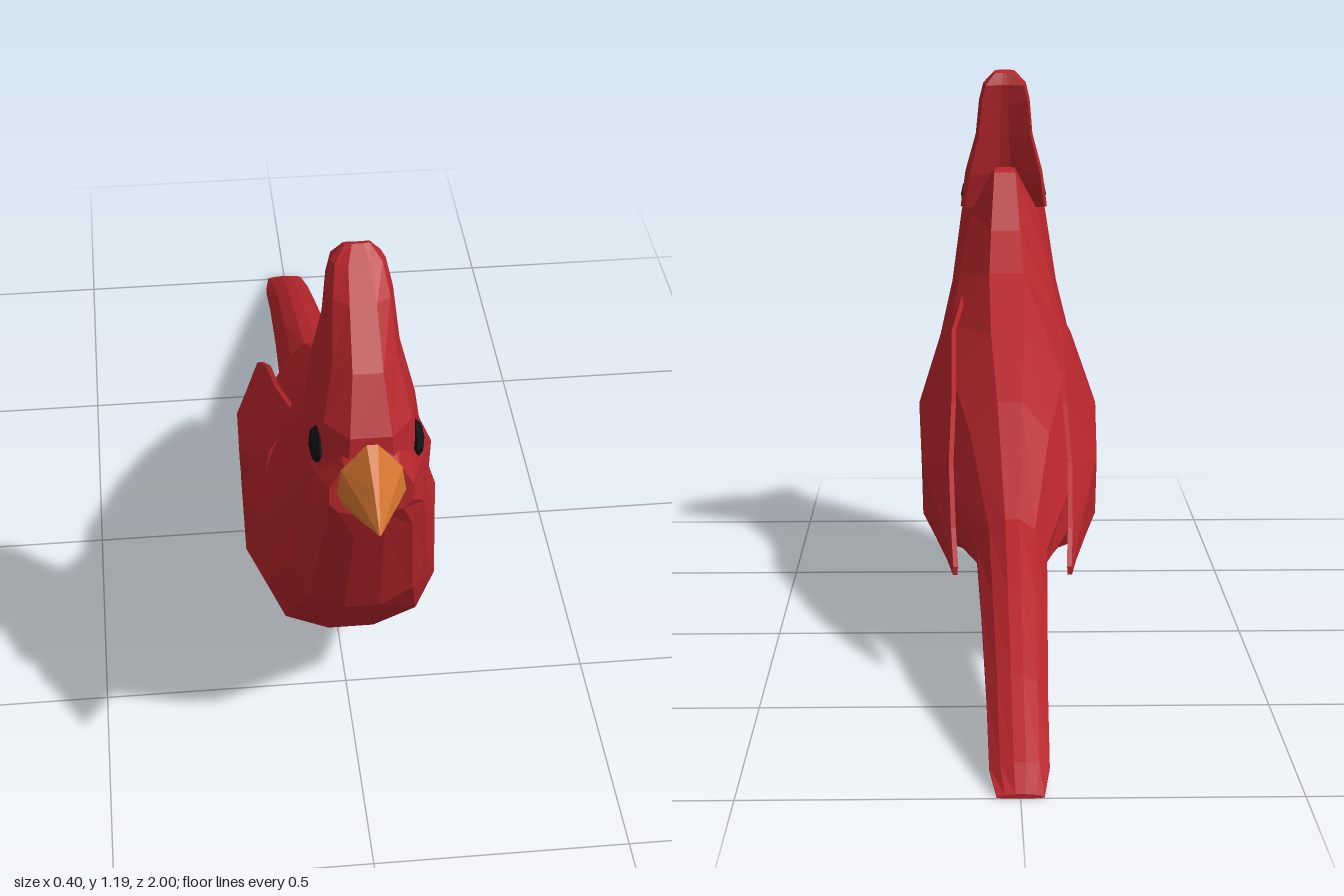
import * as THREE from 'three';

const paint = (color) => new THREE.MeshStandardMaterial({ color, flatShading: true });

// Closed solid through rings of [x, y, z] points, always wound outwards.
function loft(rings) {
  const n = rings[0].length;
  const pts = rings.flat();
  const tris = [];
  for (let r = 0; r < rings.length - 1; r++) {
    for (let i = 0; i < n; i++) {
      const j = (i + 1) % n;
      const a = r * n + i, b = r * n + j, c = a + n, d = b + n;
      tris.push([a, b, d], [a, d, c]);
    }
  }
  const last = (rings.length - 1) * n;
  for (let i = 1; i < n - 1; i++) {
    tris.push([0, i + 1, i], [last, last + i, last + i + 1]);
  }
  const v = pts.map((p) => new THREE.Vector3(...p));
  let volume = 0;
  for (const [a, b, c] of tris) volume += v[a].dot(v[b].clone().cross(v[c]));
  if (volume < 0) tris.forEach((t) => t.reverse());
  const geometry = new THREE.BufferGeometry();
  geometry.setAttribute('position', new THREE.Float32BufferAttribute(pts.flat(), 3));
  geometry.setIndex(tris.flat());
  geometry.computeVertexNormals();
  return geometry;
}

// Mirrored ring between point p [z, y] and point q [z, y]; half is [x share, position p to q].
function ring([pz, py, qz, qy, w], half) {
  const side = half.map(([x, t]) => [x * w, py + (qy - py) * t, pz + (qz - pz) * t]);
  return [...side, ...side.slice().reverse().map(([x, y, z]) => [-x, y, z])];
}

export function createModel() {
  const bird = new THREE.Group();
  bird.name = 'bird';
  const red = paint(0xb5252b);
  const orange = paint(0xd4742f);
  const black = paint(0x101010);
  const add = (name, geometry, material) => {
    const mesh = new THREE.Mesh(geometry, material);
    mesh.name = name;
    bird.add(mesh);
    return mesh;
  };

  // Body from face to tail tip: bottom z, y, top z, y, half width
  const bodySection = [[0.27, 0], [0.78, 0.06], [1, 0.2], [1, 0.46], [0.65, 0.8], [0.2, 1]];
  const bodyRings = [
    [0.875, 0.775, 0.87, 0.91, 0.075],
    [0.85, 0.7, 0.74, 1.0, 0.102],
    [0.76, 0.45, 0.6, 0.945, 0.125],
    [0.58, 0.23, 0.5, 0.82, 0.168],
    [0.36, 0.15, 0.39, 0.735, 0.195],
    [0.09, 0.15, 0.2, 0.625, 0.188],
    [-0.08, 0.19, 0.0, 0.51, 0.13],
    [-0.23, 0.195, -0.27, 0.32, 0.072],
    [-0.46, 0.16, -0.5, 0.235, 0.065],
    [-0.74, 0.07, -0.74, 0.14, 0.057],
    [-0.9, 0.012, -0.94, 0.045, 0.054],
    [-1, 0, -1, 0.008, 0.042],
  ];
  add('body', loft(bodyRings.map((r) => ring(r, bodySection))), red);

  // Crest rising from the head: front z, y, back z, y, half width
  const crestSection = [[0.4, 0], [0.85, 0.2], [1, 0.5], [0.9, 1], [0.15, 0.92]];
  const crestRings = [
    [0.87, 0.84, 0.63, 0.86, 0.105],
    [0.86, 0.935, 0.61, 0.94, 0.093],
    [0.8, 1.03, 0.6, 1.03, 0.068],
    [0.72, 1.12, 0.593, 1.11, 0.06],
    [0.66, 1.162, 0.592, 1.15, 0.05],
    [0.625, 1.186, 0.605, 1.178, 0.026],
  ];
  add('crest', loft(crestRings.map((r) => ring(r, crestSection))), red);

  // Beak halves narrowing to the tip
  const upperBase = [[0.01, 0.932, 0.875], [0.055, 0.875, 0.87], [0.073, 0.825, 0.85], [0.03, 0.83, 0.87]];
  const lowerBase = [[0.03, 0.832, 0.87], [0.07, 0.826, 0.855], [0.06, 0.795, 0.855], [0.038, 0.775, 0.86]];
  const beak = (base, tip, bulge) => {
    const full = [...base, ...base.slice().reverse().map(([x, y, z]) => [-x, y, z])];
    const toward = (t, lift) => full.map(([x, y, z]) => [
      x * (1 - t), y + (tip[0] - y) * t + lift * (y - tip[0]), z + (tip[1] - z) * t,
    ]);
    return loft([toward(0, 0), toward(0.5, bulge), toward(0.97, 0)]);
  };
  add('upperBeak', beak(upperBase, [0.83, 1.002], 0.08), orange);
  add('lowerBeak', beak(lowerBase, [0.822, 0.985], 0.1), orange);

  // Folded wings, free of the body at the rear: z, bottom y, top y, bottom x, middle x, top x
  const wingStations = [
    [0.45, 0.5, 0.68, 0.165, 0.15, 0.1],
    [0.28, 0.29, 0.62, 0.192, 0.199, 0.125],
    [0.05, 0.255, 0.5, 0.187, 0.19, 0.125],
    [-0.1, 0.24, 0.4, 0.158, 0.161, 0.13],
    [-0.24, 0.225, 0.295, 0.132, 0.134, 0.125],
    [-0.305, 0.213, 0.23, 0.121, 0.122, 0.12],
  ];
  for (const s of [1, -1]) {
    const rings = wingStations.map(([z, yb, yt, xb, xm, xt]) => {
      const outer = [[xb, yb], [xm, yb + (yt - yb) * 0.5], [xt, yt]];
      const inner = outer.map(([x, y]) => [x - 0.01, y]).reverse();
      return [...outer, ...inner].map(([x, y]) => [s * x, y, z]);
    });
    add(s > 0 ? 'leftWing' : 'rightWing', loft(rings), red);

    // Eye
    const eye = add(s > 0 ? 'leftEye' : 'rightEye', new THREE.SphereGeometry(0.038, 7, 4), black);
    eye.geometry.rotateX(Math.PI / 2).rotateY(Math.PI / 2).scale(0.45, 1, 1);
    eye.position.set(s * 0.087, 0.875, 0.79);
  }
  return bird;
}
